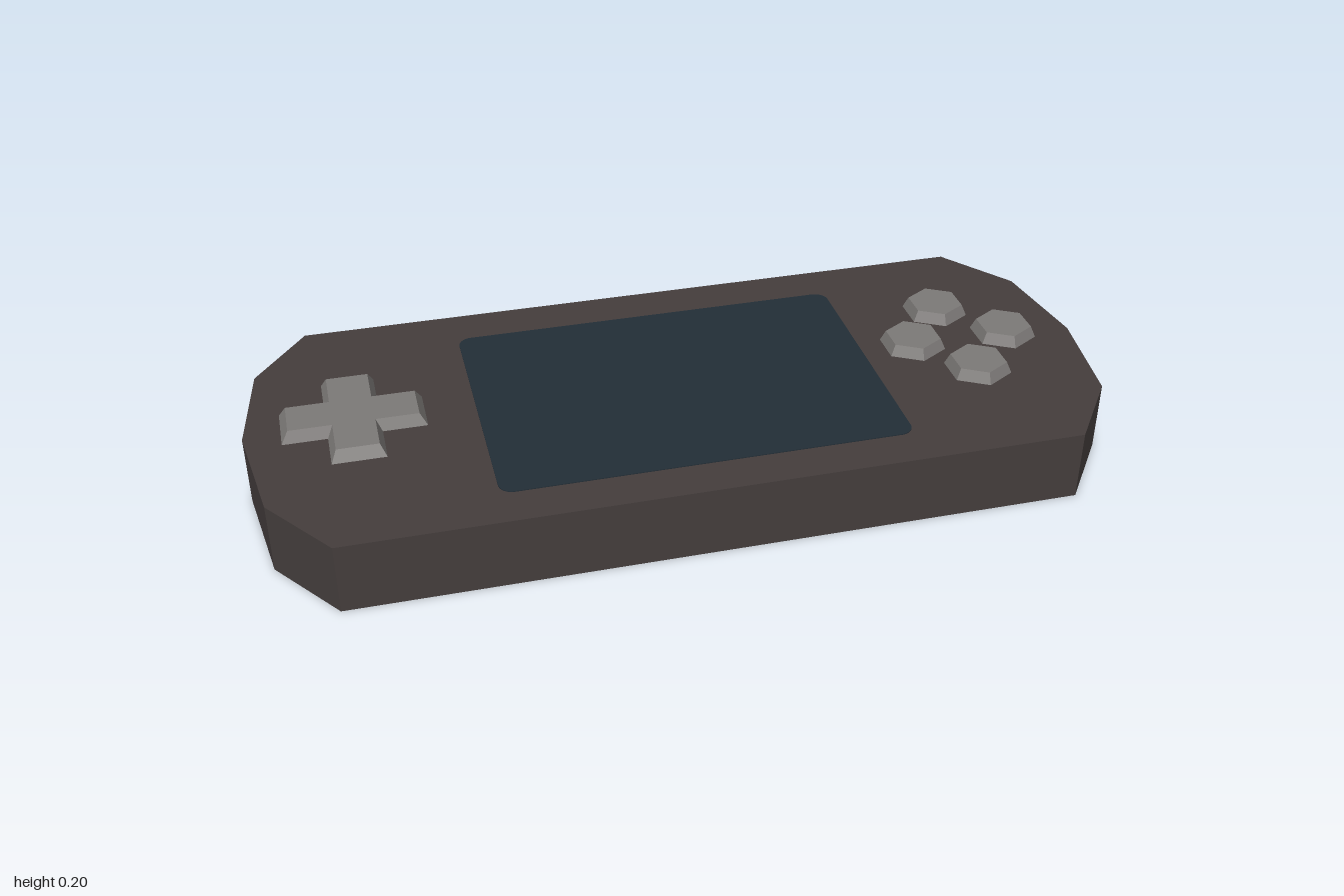
import * as THREE from 'three';

const TOP = 0.168, BACK = 0.405, RAISE = 0.027;

// Solid between two matching counter-clockwise loops of [u, v, w] points, w outward
function loft(lower, upper) {
  const n = lower.length;
  const pos = [];
  const add = (...pts) => pts.forEach((p) => pos.push(...p));
  for (let i = 0; i < n; i++) {
    const j = (i + 1) % n;
    add(lower[i], lower[j], upper[j], lower[i], upper[j], upper[i]);
  }
  const flat = upper.map(([u, v]) => new THREE.Vector2(u, v));
  for (const [a, b, c] of THREE.ShapeUtils.triangulateShape(flat, [])) {
    add(upper[a], upper[b], upper[c]);
    add(lower[c], lower[b], lower[a]);
  }
  const geo = new THREE.BufferGeometry();
  geo.setAttribute('position', new THREE.Float32BufferAttribute(pos, 3));
  geo.computeVertexNormals();
  return geo;
}

const at = (loop, w) => loop.map(([u, v]) => [u, v, w]);

// Plus-shaped outline with arm length l and half width h
const cross = (l, h) => [
  [l, -h], [l, h], [h, h], [h, l], [-h, l], [-h, h],
  [-l, h], [-l, -h], [-h, -h], [-h, -l], [h, -l], [h, -h],
];

export function createModel() {
  const group = new THREE.Group();
  const material = (name, color) => {
    const m = new THREE.MeshStandardMaterial({ color, flatShading: true });
    m.name = name;
    return m;
  };
  const casing = material('dark casing', 0x453e3d);
  const grey = material('button grey', 0x7d7a78);
  const glass = material('screen blue', 0x232e37);

  const add = (name, geo, mat, x = 0, y = 0, z = 0) => {
    const mesh = new THREE.Mesh(geo, mat);
    mesh.name = name;
    mesh.position.set(x, y, z);
    group.add(mesh);
    return mesh;
  };

  // Casing: flat slab with faceted ends
  const rightEdge = [[0.835, -0.46], [0.963, -0.285], [1, -0.02], [0.963, 0.235], [0.835, BACK]];
  const outline = [...rightEdge, ...rightEdge.map(([u, v]) => [-u, v]).reverse()];
  add('casing', loft(at(outline, 0), at(outline, TOP)).rotateX(-Math.PI / 2), casing);

  // Screen: thin plate with rounded corners
  const w = 0.471, h = 0.326, r = 0.032;
  const shape = new THREE.Shape();
  shape.absarc(w - r, h - r, r, 0, Math.PI / 2);
  shape.absarc(r - w, h - r, r, Math.PI / 2, Math.PI);
  shape.absarc(r - w, r - h, r, Math.PI, Math.PI * 1.5);
  shape.absarc(w - r, r - h, r, Math.PI * 1.5, Math.PI * 2);
  const plate = new THREE.ExtrudeGeometry(shape, { depth: 0.002, bevelEnabled: false, curveSegments: 4 });
  add('screen', plate.rotateX(-Math.PI / 2), glass, -0.002, TOP, 0.034);

  // Direction pad with sloping sides
  const pad = loft(at(cross(0.163, 0.061), 0), at(cross(0.147, 0.048), RAISE));
  add('directionPad', pad.rotateX(-Math.PI / 2), grey, -0.752, TOP, 0);

  // Four six-sided action buttons
  const hex = new THREE.CylinderGeometry(0.067, 0.08, RAISE, 6);
  for (const [x, z] of [[0.712, -0.142], [0.712, 0.137], [0.6, -0.002], [0.836, -0.002]]) {
    add('actionButton', hex, grey, x, TOP + RAISE / 2, z);
  }

  // Shoulder buttons: wedges on the back edge, widest at the casing
  for (const side of [-1, 1]) {
    const mid = side * 0.667;
    const lower = [[-0.17, 0, 0], [0.17, 0, 0], [0.17, TOP, 0], [-0.17, TOP, 0]];
    const upper = [[-0.11, 0.062, 0.058], [0.11, 0.062, 0.058], [0.122, 0.14, 0.038], [-0.122, 0.14, 0.038]];
    add(side > 0 ? 'leftShoulderButton' : 'rightShoulderButton',
      loft(lower, upper).rotateY(Math.PI), grey, mid, 0, -BACK);
  }
  return group;
}
